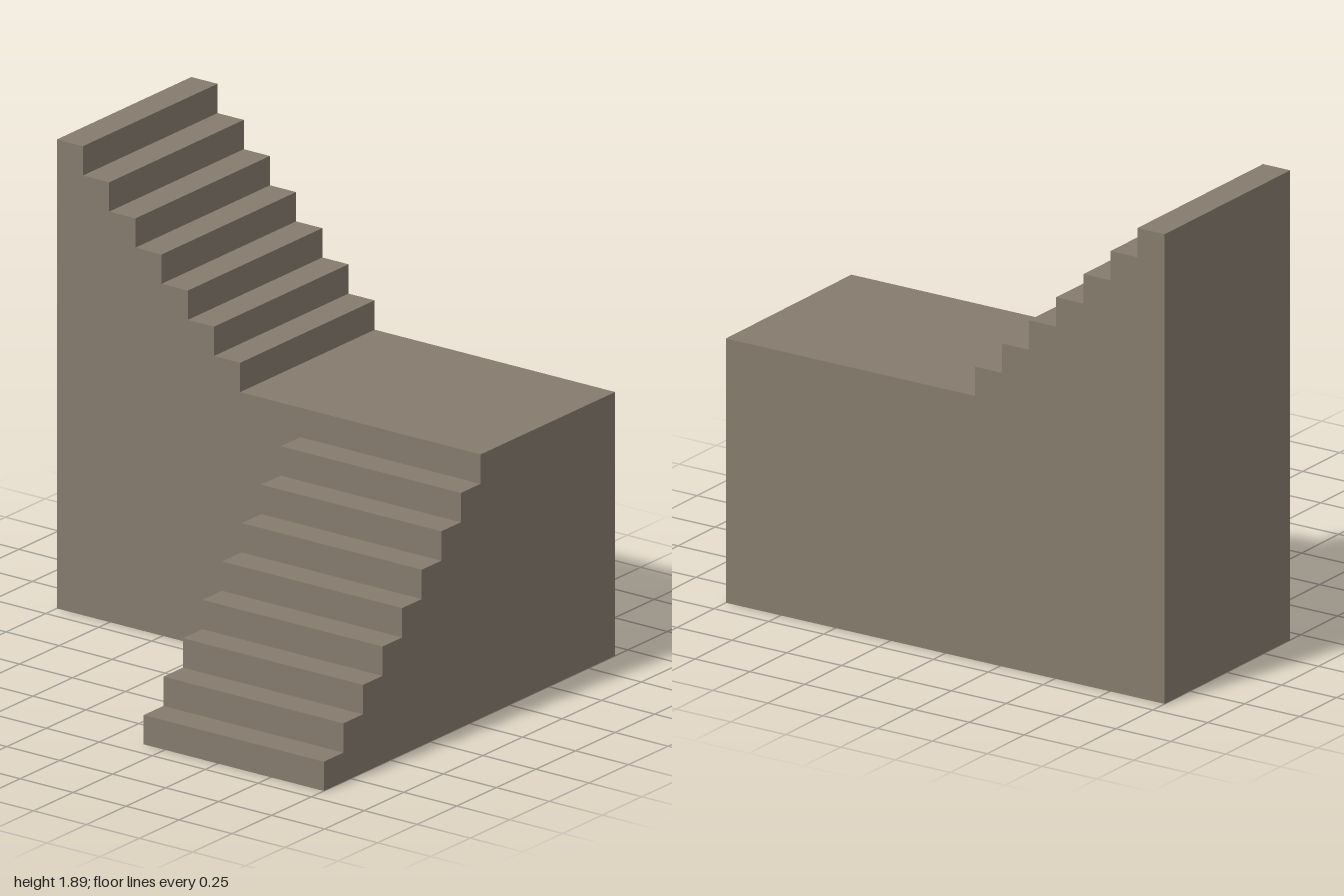
import * as THREE from 'three';

const RISE = 1.89 / 16;
const TREAD = 0.1236;
const WIDTH = 0.85;

// Solid side profile: an optional flat run from "start" to "foot", then steps up to the end
function stairProfile(start, foot, baseHeight, steps) {
  const shape = new THREE.Shape();
  shape.moveTo(start, 0);
  if (baseHeight > 0) {
    shape.lineTo(start, baseHeight);
    shape.lineTo(foot, baseHeight);
  }
  for (let i = 0; i < steps; i++) {
    const y = baseHeight + (i + 1) * RISE;
    shape.lineTo(foot + i * TREAD, y);
    shape.lineTo(foot + (i + 1) * TREAD, y);
  }
  shape.lineTo(foot + steps * TREAD, 0);
  shape.closePath();
  return shape;
}

function flight(name, profile, material) {
  const geometry = new THREE.ExtrudeGeometry(profile, { depth: WIDTH, bevelEnabled: false });
  const mesh = new THREE.Mesh(geometry, material);
  mesh.name = name;
  return mesh;
}

export function createModel() {
  const group = new THREE.Group();
  group.name = 'cornerStaircase';

  const stone = new THREE.MeshStandardMaterial({ color: 0x857b6d });
  stone.name = 'stone';

  // Lower flight climbs towards +x
  const lower = flight('lowerFlight', stairProfile(-0.92, -0.92, 0, 8), stone);
  lower.position.z = 1 - WIDTH;
  group.add(lower);

  // Landing and upper flight climb towards -z
  const upper = flight('landingAndUpperFlight', stairProfile(-1, 1 - 7 * TREAD, 9 * RISE, 7), stone);
  upper.rotation.y = Math.PI / 2;
  upper.position.x = 0.92 - WIDTH;
  group.add(upper);

  return group;
}
